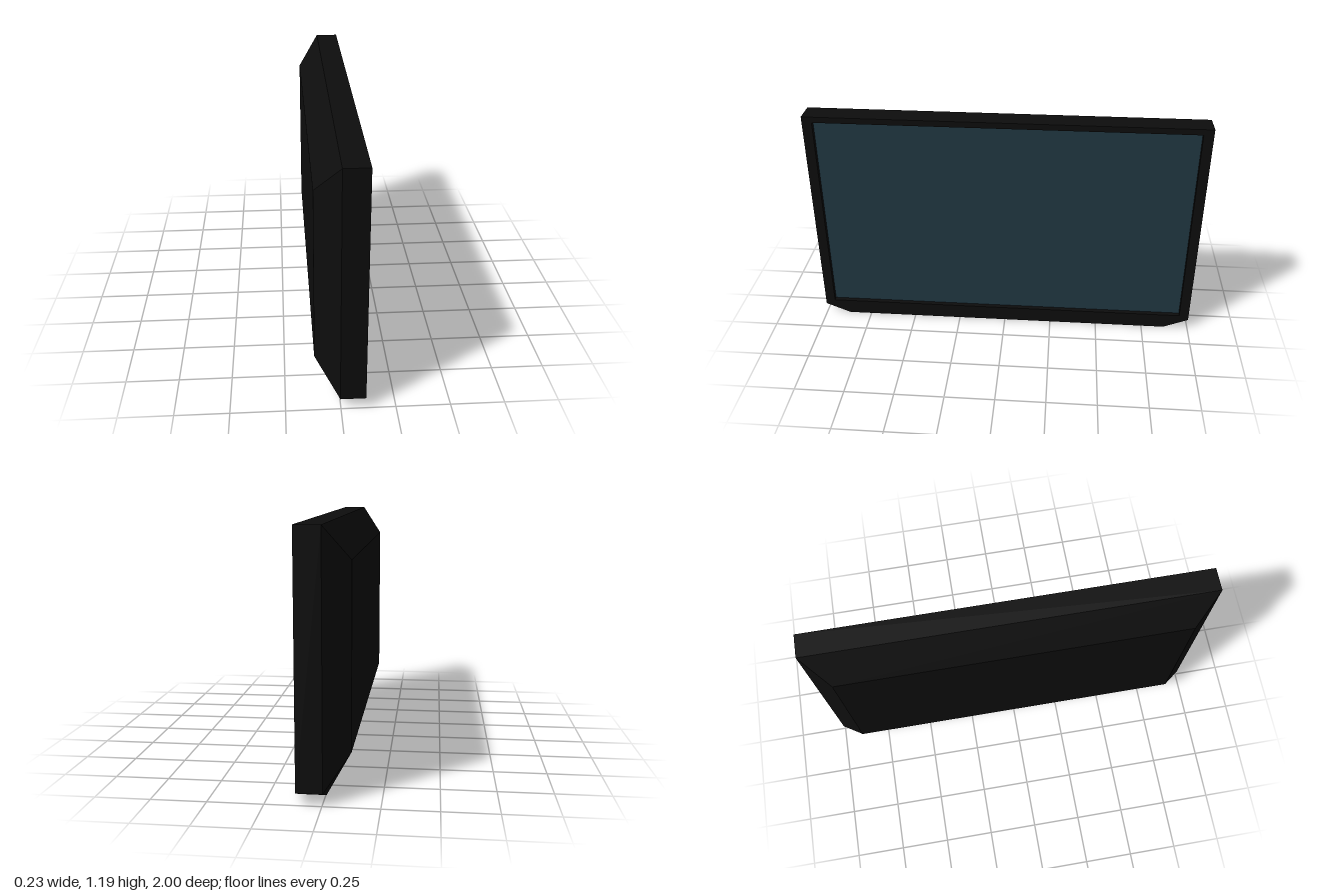
import * as THREE from 'three';

const RIM_X = -0.003, FRONT_X = 0.114, BACK_X = -0.114;

// Outline of the case as [z, y], with clipped bottom corners
const OUTLINE = [[0.87, 0], [1, 0.054], [1, 1.187], [-1, 1.187], [-1, 0.054], [-0.87, 0]];
// Matching corners of the smaller back panel (bottom ones are shared by the clipped corners)
const BACK = [[0.875, 0.203], [0.875, 0.203], [0.875, 1.036], [-0.875, 1.036], [-0.875, 0.203], [-0.875, 0.203]];
// Display opening
const OPEN = { z: 0.95, y0: 0.08, y1: 1.157 };

const points = (list) => list.map(([z, y]) => new THREE.Vector2(z, y));

// Straight-sided rim with the display opening cut through it
function bezelGeometry() {
  const shape = new THREE.Shape(points(OUTLINE));
  const { z, y0, y1 } = OPEN;
  shape.holes.push(new THREE.Path(points([[-z, y0], [-z, y1], [z, y1], [z, y0]])));
  const geo = new THREE.ExtrudeGeometry(shape, { depth: FRONT_X - RIM_X, bevelEnabled: false });
  return geo.rotateY(Math.PI / 2).translate(RIM_X, 0, 0);
}

// Tapered shell between the rim and the flat back panel
function backGeometry() {
  const pos = [];
  const rim = OUTLINE.map(([z, y]) => [RIM_X, y, z]);
  const back = BACK.map(([z, y]) => [BACK_X, y, z]);
  const tri = (a, b, c) => pos.push(...a, ...b, ...c);
  for (let i = 0; i < rim.length; i++) {
    const j = (i + 1) % rim.length;
    tri(rim[i], rim[j], back[j]);
    if (BACK[i][0] !== BACK[j][0] || BACK[i][1] !== BACK[j][1]) tri(rim[i], back[j], back[i]);
  }
  tri(back[0], back[2], back[3]);
  tri(back[0], back[3], back[4]);
  const geo = new THREE.BufferGeometry();
  geo.setAttribute('position', new THREE.Float32BufferAttribute(pos, 3));
  geo.computeVertexNormals();
  return geo;
}

export function createModel() {
  const group = new THREE.Group();
  group.name = 'flatDisplay';
  const caseMaterial = new THREE.MeshStandardMaterial({ color: 0x0d0d0d });
  const screenMaterial = new THREE.MeshStandardMaterial({ color: 0x213843 });
  const add = (name, geo, material) => {
    const mesh = new THREE.Mesh(geo, material);
    mesh.name = name;
    group.add(mesh);
    return mesh;
  };

  add('bezel', bezelGeometry(), caseMaterial);
  add('backShell', backGeometry(), caseMaterial);

  // Screen, slightly recessed in the bezel
  const thickness = 0.02, recess = 0.024;
  const screen = add('screen',
    new THREE.BoxGeometry(thickness, OPEN.y1 - OPEN.y0, OPEN.z * 2), screenMaterial);
  screen.position.set(FRONT_X - recess - thickness / 2, (OPEN.y0 + OPEN.y1) / 2, 0);

  return group;
}
